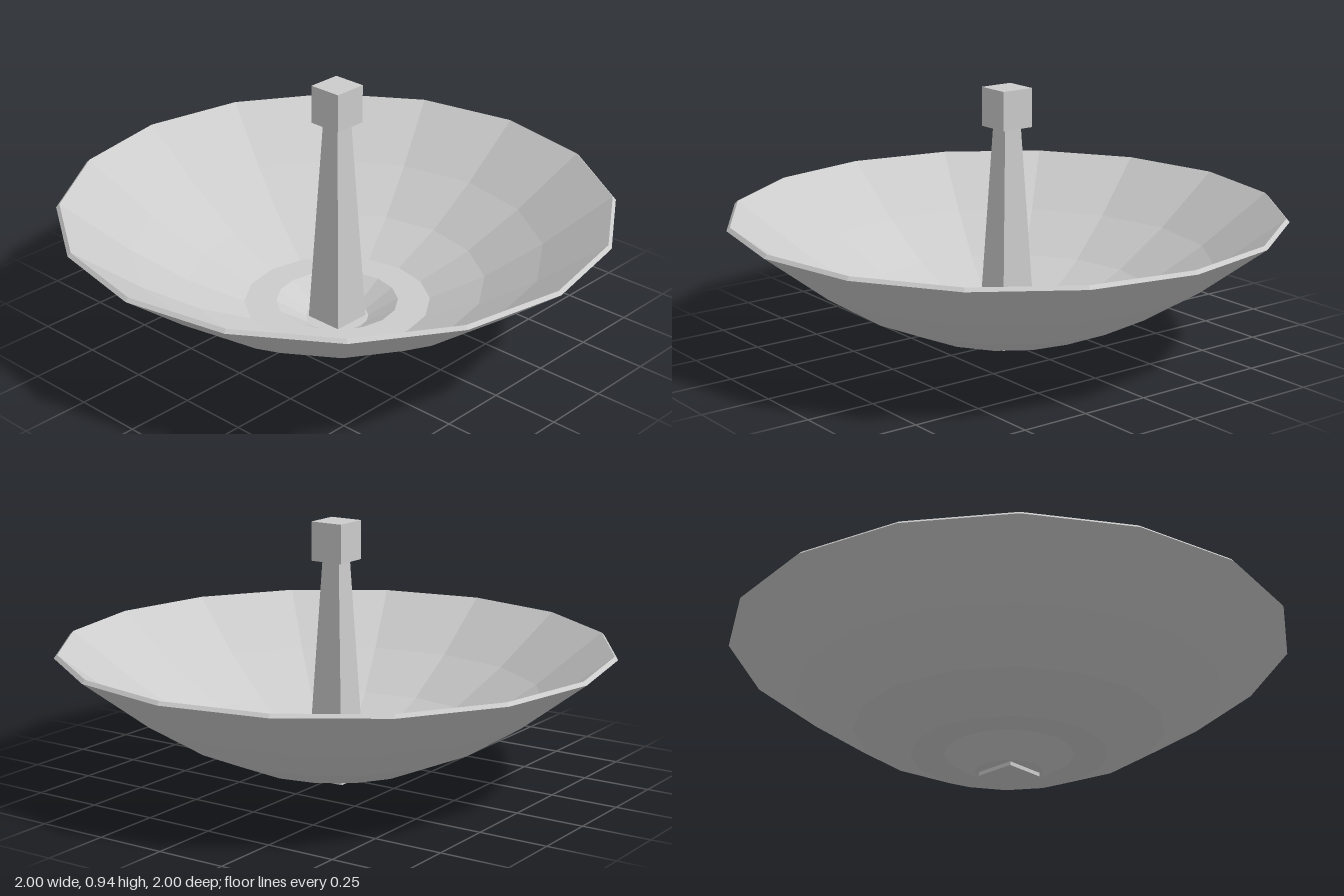
import * as THREE from 'three';

export function createModel() {
  const group = new THREE.Group();
  const material = new THREE.MeshStandardMaterial({ color: 0xcccccc, flatShading: true });

  function add(name, geometry, y = 0) {
    const mesh = new THREE.Mesh(geometry, material);
    mesh.name = name;
    mesh.position.y = y;
    group.add(mesh);
    return mesh;
  }

  // Thin dish shell: up the outside, over the lip, down the inside
  const outer = [[0, 0.014], [0.12, 0.014], [0.228, 0.08], [0.345, 0.08], [0.548, 0.168], [0.755, 0.298], [1, 0.485]];
  const inner = [[0.988, 0.497], [0.745, 0.311], [0.538, 0.181], [0.34, 0.094], [0.223, 0.094], [0.115, 0.028], [0, 0.028]];
  const profile = [...outer, ...inner].map(([r, y]) => new THREE.Vector2(r, y));
  add('dish', new THREE.LatheGeometry(profile, 16));

  // Tapered square post, just poking through the dish floor
  const postHeight = 0.8;
  const post = new THREE.CylinderGeometry(0.035 * Math.SQRT2, 0.075 * Math.SQRT2, postHeight, 4);
  post.rotateY(Math.PI / 4);
  add('post', post, postHeight / 2);

  // Receiver block on top of the post
  add('receiver', new THREE.BoxGeometry(0.126, 0.14, 0.126), postHeight + 0.07);

  return group;
}
